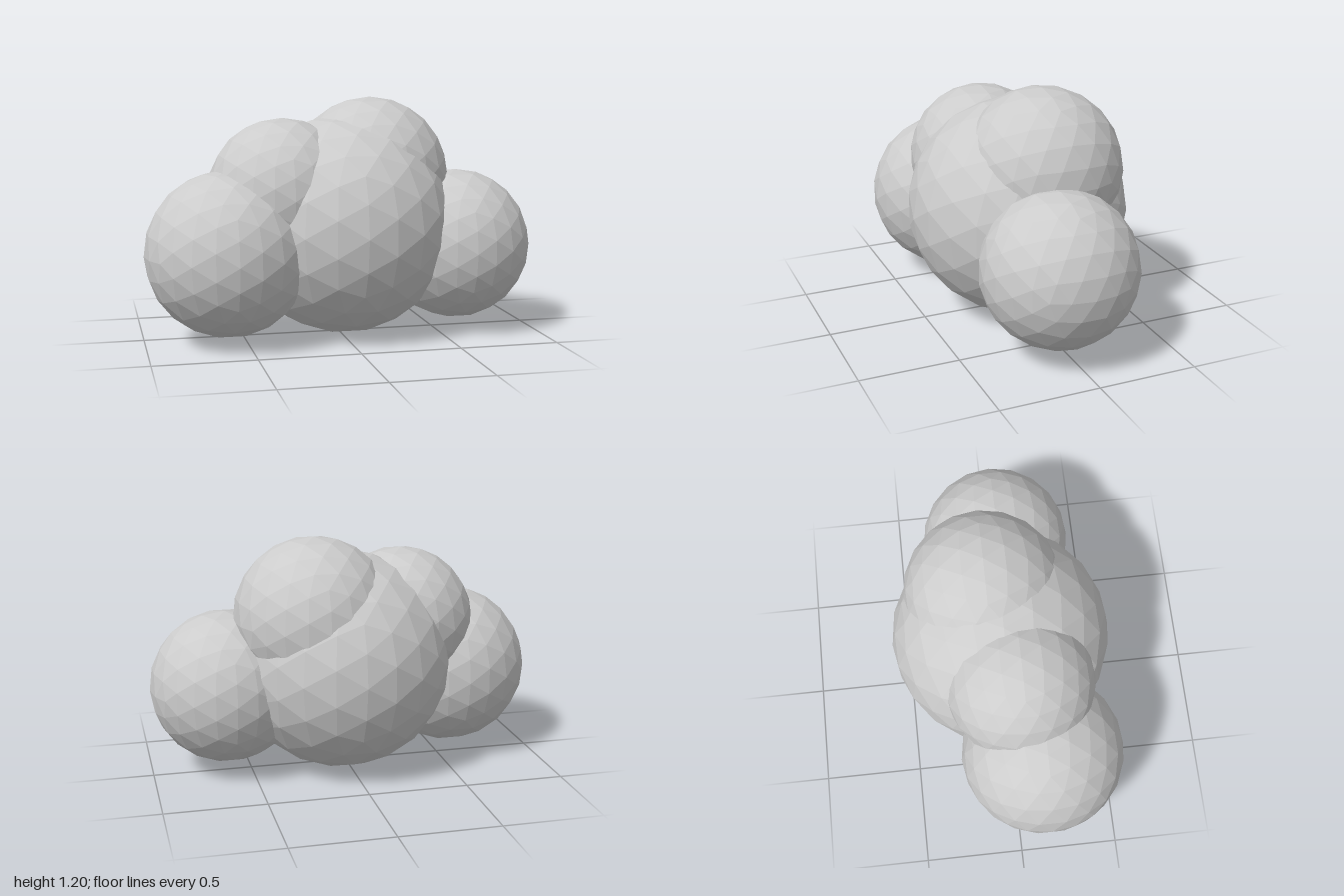
import * as THREE from 'three';

// Puffs of the cloud: name, centre x, y, z and radius
const PUFFS = [
  ['centrePuff', 0.025, 0.56, -0.005, 0.558],
  ['leftPuff', 0.612, 0.445, 0.03, 0.387],
  ['rightPuff', -0.588, 0.452, 0.145, 0.413],
  ['upperLeftPuff', 0.178, 0.8, -0.07, 0.406],
  ['upperRightPuff', -0.303, 0.735, 0.058, 0.375],
];

export function createModel() {
  const cloud = new THREE.Group();
  cloud.name = 'cloud';
  const material = new THREE.MeshStandardMaterial({ color: 0xcccccc, flatShading: true });

  // Overlapping faceted spheres
  for (const [name, x, y, z, radius] of PUFFS) {
    const puff = new THREE.Mesh(new THREE.IcosahedronGeometry(radius, 3), material);
    puff.name = name;
    puff.position.set(x, y, z);
    cloud.add(puff);
  }
  return cloud;
}
